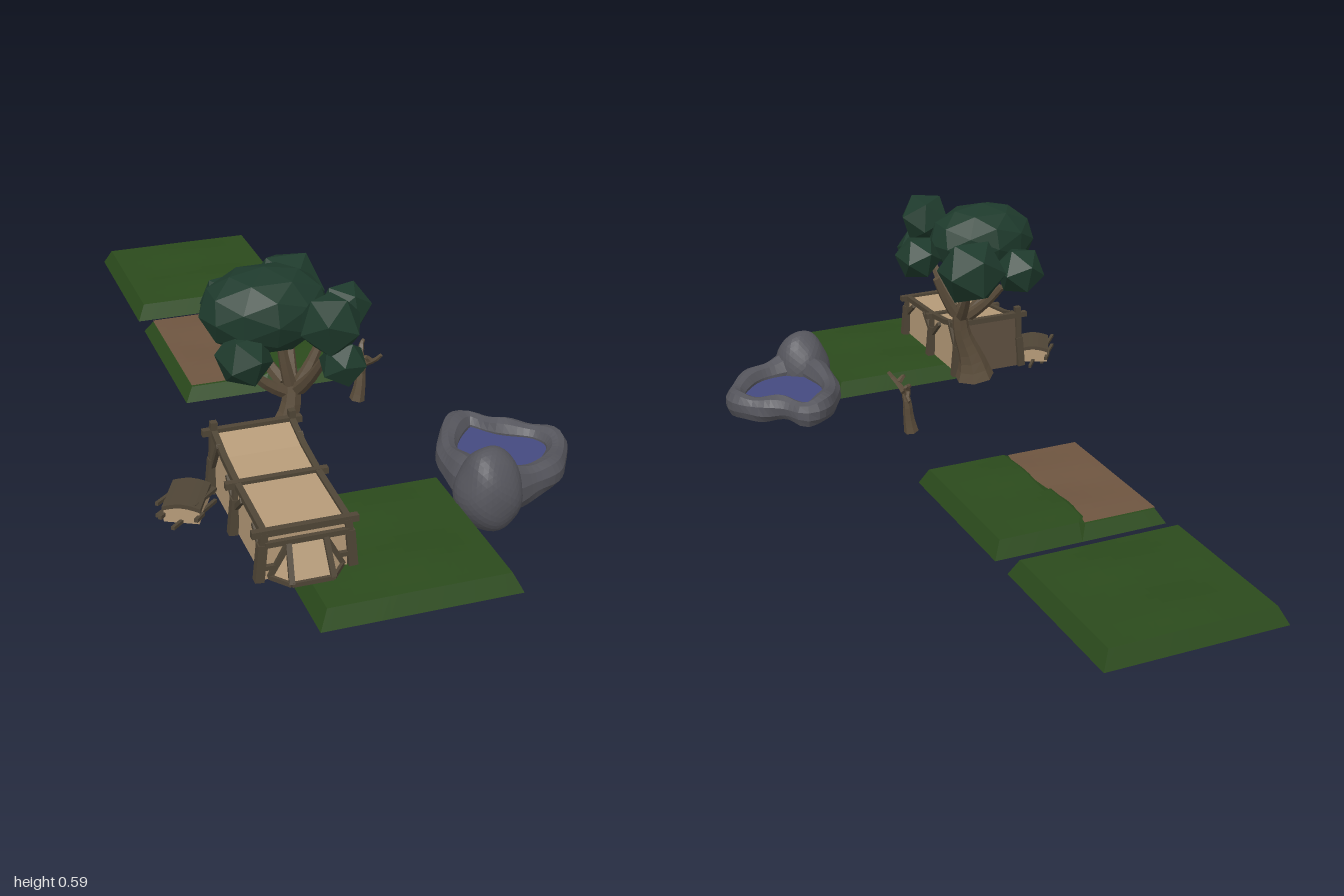
import * as THREE from 'three';
import { ConvexGeometry } from 'three/addons/geometries/ConvexGeometry.js';

const mat = (color, side = THREE.FrontSide) =>
  new THREE.MeshStandardMaterial({ color, flatShading: true, side });
const M = {
  grass: mat(0x2b4a1c), dirt: mat(0x6e5540, THREE.DoubleSide), bark: mat(0x5a4c3a),
  leaf: mat(0x1e3a2c), cloth: mat(0xb59a78, THREE.DoubleSide), wood: mat(0x4f4536),
  rock: mat(0x55555c), water: mat(0x454a80, THREE.DoubleSide), shade: mat(0x5f5040),
};
const V = (p) => new THREE.Vector3(...p);

function add(parent, name, geo, material, pos = [0, 0, 0]) {
  const mesh = new THREE.Mesh(geo, material);
  mesh.name = name;
  mesh.position.set(...pos);
  parent.add(mesh);
  return mesh;
}

function group(parent, name) {
  const g = new THREE.Group();
  g.name = name;
  parent.add(g);
  return g;
}

// Move every vertex of a geometry by a rule
function warp(geo, rule) {
  const p = geo.attributes.position, v = new THREE.Vector3();
  for (let i = 0; i < p.count; i++) {
    v.fromBufferAttribute(p, i);
    rule(v, i);
    p.setXYZ(i, v.x, v.y, v.z);
  }
  geo.computeVertexNormals();
  return geo;
}

// Square timber between two points
function beam(parent, name, a, b, w = 0.014) {
  const from = V(a), to = V(b);
  const mesh = add(parent, name, new THREE.BoxGeometry(w, w, from.distanceTo(to)), M.wood);
  mesh.position.copy(from).lerp(to, 0.5);
  mesh.lookAt(to);
}

// Four-cornered panel
function panel(parent, name, corners, material) {
  const geo = new THREE.BufferGeometry().setFromPoints(corners.map(V));
  geo.setIndex([0, 1, 2, 0, 2, 3]);
  geo.computeVertexNormals();
  add(parent, name, geo, material);
}

// Tapered tube through points, with closed ends
function limb(parent, name, points, r0, r1, seg = 8, sides = 6, flare = 0) {
  const curve = new THREE.CatmullRomCurve3(points.map(V));
  const geo = warp(new THREE.TubeGeometry(curve, seg, 1, sides), (v, i) => {
    const ring = Math.floor(i / (sides + 1)), t = ring / seg;
    const end = ring === 0 || ring === seg;
    const c = curve.getPointAt(t);
    const inner = curve.getPointAt(Math.min(seg - 1, Math.max(1, ring)) / seg);
    const r = end ? 0 : r0 + (r1 - r0) * t + flare * (1 - t) ** 4;
    v.sub(c).multiplyScalar(r).add(inner);
  });
  add(parent, name, geo, M.bark);
}

// Gentle bumps of the ground, fading out at the tile rim
const bump = (x, z) => {
  const fade = Math.max(0, (1 - (x / 0.21) ** 2) * (1 - (z / 0.21) ** 2));
  return 0.081 + fade * (0.004 + 0.004 * Math.sin(z * 24 - 1.2) + 0.003 * Math.cos(x * 19 - 0.6));
};
const pathEdge = (z) => -0.014 + 0.013 * Math.sin(z * 15);

function tile(root, name, z0, withPath) {
  const g = group(root, name);
  g.position.set(-0.06, 0, z0);
  const geo = new THREE.BoxGeometry(0.45, 0.04, 0.45, 24, 1, 16);
  add(g, 'grass', warp(geo, (v) => {
    if (v.y < 0) { v.y = 0.04; return; }
    v.x *= 0.91;
    v.z *= 0.91;
    v.y = bump(v.x, v.z) - (withPath && v.x < pathEdge(v.z) ? 0.007 : 0);
  }), M.grass);
  if (!withPath) return;
  const dirt = new THREE.PlaneGeometry(1, 0.41, 8, 16).rotateX(-Math.PI / 2);
  add(g, 'dirtPath', warp(dirt, (v) => {
    v.x = -0.205 + (v.x + 0.5) * (pathEdge(v.z) + 0.205);
    v.y = bump(v.x, v.z) - 0.003;
  }), M.dirt);
}

function house(root) {
  const g = group(root, 'house');
  const L = -0.355, R = -0.173, base = 0.083;
  // Bays along the length: depth and eave height
  const bays = [[0.475, 0.238], [0.56, 0.216], [0.655, 0.204], [0.845, 0.196]];
  for (let i = 0; i < bays.length - 1; i++) {
    const [za, ya] = bays[i], [zb, yb] = bays[i + 1];
    panel(g, 'roof', [[L, ya, za], [L, yb, zb], [R, yb, zb], [R, ya, za]], M.cloth);
    for (const x of [L, R]) {
      panel(g, 'sideWall', [[x, base, za], [x, base, zb], [x, yb, zb], [x, ya, za]], M.cloth);
      beam(g, 'eaveBeam', [x, ya, za], [x, yb, zb]);
    }
  }
  panel(g, 'frontWall', [[L, base, 0.845], [R, base, 0.845], [R, 0.196, 0.845], [L, 0.196, 0.845]], M.cloth);
  panel(g, 'backWall', [[R, base, 0.475], [L, base, 0.475], [L, 0.238, 0.475], [R, 0.238, 0.475]], M.shade);
  for (const [z, y] of [bays[0], bays[2], bays[3]]) {
    beam(g, 'crossBeam', [-0.382, y, z], [-0.15, y, z], 0.015);
    for (const [x, s] of [[L, -1], [R, 1]]) {
      const top = z < 0.5 ? 0.262 : y;
      beam(g, 'post', [x + s * 0.012, base, z], [x + s * 0.004, 0.17, z], 0.02);
      beam(g, 'post', [x + s * 0.004, 0.16, z], [x, top, z], 0.016);
      // Slanting braces under the eaves
      for (const d of [-1, 1]) {
        const end = z + d * 0.055;
        if (end > 0.475 && end < 0.845) beam(g, 'brace', [x + s * 0.004, 0.145, z], [x + s * 0.004, y - 0.008, end], 0.011);
      }
    }
  }
  // Projecting front bay with slanting struts
  const cx = -0.264;
  const top = [-0.04, 0.04].map((x) => [cx + x, 0.165, 0.852]);
  const foot = [-0.045, 0.045].map((x) => [cx + x, 0.09, 0.89]);
  const side = [-0.08, 0.08].map((x) => [cx + x, 0.09, 0.847]);
  add(g, 'frontBay', new ConvexGeometry([...top, ...foot, ...side].map(V)), M.cloth);
  for (const i of [0, 1]) {
    beam(g, 'bayStrut', top[i], foot[i], 0.012);
    beam(g, 'bayStrut', top[i], side[i], 0.012);
    beam(g, 'baySill', foot[i], side[i], 0.01);
  }
  beam(g, 'baySill', foot[0], foot[1], 0.01);
  beam(g, 'frontRail', [L, 0.17, 0.85], [R, 0.17, 0.85], 0.012);
  beam(g, 'frontRail', [L, 0.115, 0.85], [R, 0.115, 0.85], 0.01);
}

function chest(root) {
  const g = group(root, 'chest');
  g.position.set(-0.435, 0.083, 0.53);
  g.rotation.y = -0.47;
  const w = 0.08, h = 0.036, d = 0.11;
  add(g, 'chestBody', new THREE.BoxGeometry(w, h, d), M.cloth, [0, h / 2, 0]);
  const lid = new THREE.CylinderGeometry(w / 2, w / 2, d, 10, 1, false, 0, Math.PI);
  lid.rotateZ(Math.PI / 2).rotateY(Math.PI / 2).scale(1, 0.28, 1);
  add(g, 'chestLid', warp(new THREE.BoxGeometry(w + 0.006, 0.01, d + 0.006, 6, 1, 1), (v) => {
    v.y += 0.009 * Math.cos(v.x * 36);
  }), M.wood, [0, h - 0.002, 0]);
  for (const x of [-w / 2, w / 2]) {
    for (const z of [-d / 2, d / 2]) beam(g, 'chestCorner', [x, 0, z], [x, h, z], 0.009);
    for (const y of [0.004, h - 0.002]) beam(g, 'chestRail', [x, y, -d / 2], [x, y, d / 2], 0.008);
  }
  for (const z of [-d / 2, d / 2]) beam(g, 'chestRail', [-w / 2, 0.004, z], [w / 2, 0.004, z], 0.008);
}

function tree(root) {
  const g = group(root, 'tree');
  limb(g, 'trunk', [[-0.2, 0.07, 0.42], [-0.188, 0.15, 0.42], [-0.157, 0.24, 0.42], [-0.148, 0.33, 0.41]], 0.034, 0.018, 10, 7, 0.035);
  const fork = [-0.152, 0.27, 0.418];
  const tips = [[-0.285, 0.38, 0.45], [-0.24, 0.42, 0.29], [-0.12, 0.43, 0.28], [-0.07, 0.43, 0.42], [-0.12, 0.45, 0.58], [-0.19, 0.45, 0.43]];
  for (const t of tips) {
    const mid = fork.map((f, i) => f + (t[i] - f) * 0.5 + (i === 1 ? -0.012 : 0));
    limb(g, 'branch', [fork, mid, t], 0.018, 0.008, 6, 6);
  }
  // Faceted leaf clumps: x, y, z, radius
  const clumps = [
    [-0.115, 0.465, 0.26, 0.092], [-0.255, 0.45, 0.26, 0.068], [-0.03, 0.47, 0.42, 0.063],
    [-0.125, 0.52, 0.595, 0.073], [-0.1, 0.43, 0.605, 0.055], [-0.29, 0.42, 0.5, 0.066],
  ];
  clumps.forEach(([x, y, z, r], i) => {
    add(g, 'leafClump', new THREE.IcosahedronGeometry(r, 0), M.leaf, [x, y, z]).rotation.set(i, i * 1.7, 0.4 * i);
  });
  const crown = new THREE.IcosahedronGeometry(1, 1).scale(0.15, 0.1, 0.115);
  add(g, 'leafCrown', crown, M.leaf, [-0.22, 0.497, 0.425]);
}

function deadTree(root) {
  const g = group(root, 'deadTree');
  limb(g, 'deadTrunk', [[0.098, 0.07, 0.165], [0.108, 0.13, 0.165], [0.112, 0.17, 0.162], [0.118, 0.212, 0.17]], 0.017, 0.009, 8, 6, 0.006);
  const arms = [
    [[0.113, 0.185, 0.165], [0.117, 0.205, 0.2], [0.128, 0.222, 0.222], [0.145, 0.25, 0.238]],
    [[0.113, 0.185, 0.165], [0.118, 0.213, 0.14], [0.13, 0.2, 0.115], [0.122, 0.192, 0.095]],
    [[0.114, 0.2, 0.168], [0.1, 0.208, 0.185], [0.088, 0.2, 0.19]],
    [[0.118, 0.205, 0.145], [0.122, 0.225, 0.135], [0.135, 0.235, 0.125]],
    [[0.12, 0.21, 0.205], [0.105, 0.225, 0.21], [0.095, 0.222, 0.22]],
  ];
  for (const a of arms) limb(g, 'deadBranch', a, 0.009, 0.004, 6, 5);
}

function pond(root) {
  const g = group(root, 'pond');
  const lump = (x, y, z) => Math.sin(x * 37 + z * 11) * Math.cos(z * 31 + y * 23) + 0.5 * Math.sin(y * 60 + x * 50);
  // Rocky rim around the water: x, z
  const rim = [[0.2, 0.53], [0.25, 0.41], [0.31, 0.375], [0.355, 0.43], [0.44, 0.49], [0.46, 0.545], [0.405, 0.635], [0.335, 0.67], [0.23, 0.67]];
  const curve = new THREE.CatmullRomCurve3(rim.map(([x, z]) => new THREE.Vector3(x, 0.092, z)), true);
  const seg = 56, sides = 10;
  const ring = warp(new THREE.TubeGeometry(curve, seg, 1, sides, true), (v, i) => {
    const c = curve.getPointAt((Math.floor(i / (sides + 1)) % seg) / seg);
    const d = v.clone().sub(c);
    const near = Math.max(0, 1 - Math.hypot(c.x - 0.24, c.z - 0.67) / 0.16);
    const r = 0.028 + 0.018 * near + 0.005 * lump(c.x + d.x * 0.03, d.y * 0.03, c.z + d.z * 0.03);
    v.copy(c).addScaledVector(d, r);
    v.y = c.y + d.y * r * 1.3;
  });
  add(g, 'rockRim', ring, M.rock);
  const boulder = warp(new THREE.IcosahedronGeometry(1, 6), (v) => {
    const s = 1 + 0.035 * lump(v.x * 0.09, v.y * 0.09, v.z * 0.09);
    const taper = 1 - 0.12 * v.y;
    v.set(v.x * 0.078 * s * taper, v.y * 0.101 * s, v.z * 0.074 * s * taper);
  });
  add(g, 'boulder', boulder, M.rock, [0.222, 0.105, 0.685]);
  const shape = new THREE.Shape(curve.getSpacedPoints(40).map((p) => new THREE.Vector2(p.x, p.z)));
  add(g, 'water', new THREE.ShapeGeometry(shape).rotateX(Math.PI / 2), M.water, [0, 0.098, 0]);
}

export function createModel() {
  const root = new THREE.Group();
  root.name = 'sceneryPieces';
  tile(root, 'backGrassTile', -0.775, false);
  tile(root, 'pathTile', -0.26, true);
  tile(root, 'frontGrassTile', 0.775, false);
  house(root);
  chest(root);
  tree(root);
  deadTree(root);
  pond(root);
  return root;
}
